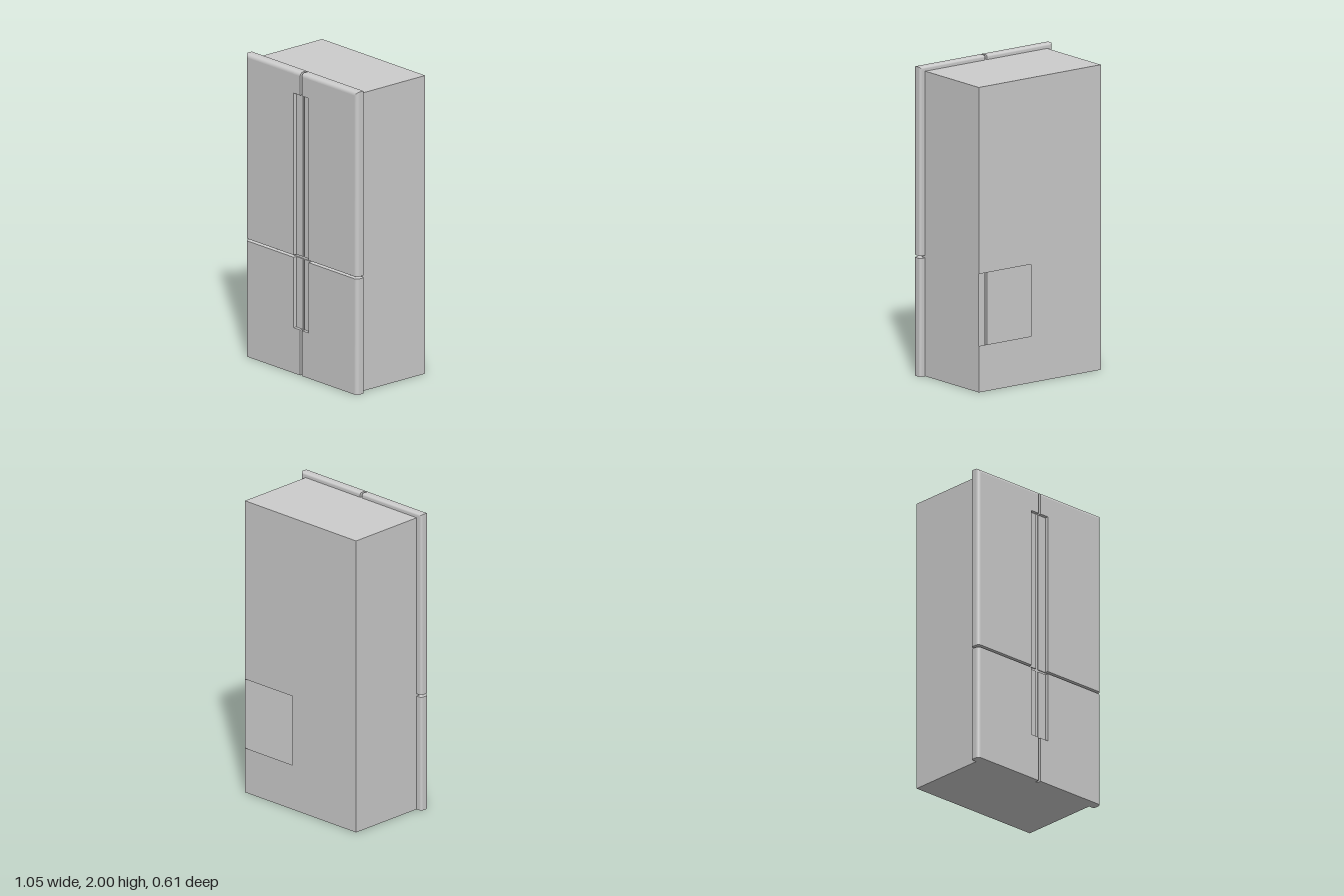
import * as THREE from 'three';

const mat = new THREE.MeshStandardMaterial({ color: 0xcccccc, side: THREE.DoubleSide });

const BODY = { x: 0.486, top: 1.97, back: -0.305, front: 0.275 };
const DOOR = { x: 0.527, back: 0.24, front: 0.305 };
const GAP = 0.008;                                  // half of the centre gap
const GRIP = { x: 0.07, low: 0.3, high: 1.85, floor: 0.282 };
const R_FRONT = 0.024, R_BACK = 0.014, ARC = 8;

function add(parent, name, geometry) {
  const mesh = new THREE.Mesh(geometry, mat);
  mesh.name = name;
  parent.add(mesh);
  return mesh;
}

// Depth layers of a door edge: position z and how far the edge is drawn in
function edgeLayers() {
  const layers = [];
  for (let i = 0; i <= ARC; i++) {
    const a = (i / ARC) * Math.PI / 2;
    layers.push([DOOR.back + R_BACK * (1 - Math.cos(a)), R_BACK * (1 - Math.sin(a))]);
  }
  for (let i = 0; i <= ARC; i++) {
    const a = (i / ARC) * Math.PI / 2;
    layers.push([DOOR.front - R_FRONT * (1 - Math.sin(a)), R_FRONT * (1 - Math.cos(a))]);
  }
  return layers;
}

// Slab whose outer side and/or top edge is rounded; side is +1 or -1
function slab(side, x0, x1, y0, y1, roundSide, roundTop) {
  const layers = edgeLayers(), n = layers.length - 1;
  const g = new THREE.BoxGeometry(1, 1, 1, 1, 1, n);
  const p = g.attributes.position;
  for (let i = 0; i < p.count; i++) {
    const [z, inset] = layers[Math.round((p.getZ(i) + 0.5) * n)];
    const outer = p.getX(i) * side > 0, top = p.getY(i) > 0;
    const x = outer ? x1 - (roundSide ? inset : 0) : x0;
    const y = top ? y1 - (roundTop ? inset : 0) : y0;
    p.setXYZ(i, side * x, y, z);
  }
  g.computeVertexNormals();
  return g;
}

// Door with a shallow grip recess along its inner edge
function door(side, name, y0, y1, grip0, grip1, roundTop) {
  const group = new THREE.Group();
  group.name = name;
  add(group, 'doorPanel', slab(side, GRIP.x, DOOR.x, y0, y1, true, roundTop));
  if (grip0 > y0) add(group, 'doorInnerBottom', slab(side, GAP, GRIP.x, y0, grip0, false, false));
  if (grip1 < y1) add(group, 'doorInnerTop', slab(side, GAP, GRIP.x, grip1, y1, false, roundTop));
  const depth = GRIP.floor - DOOR.back;
  const floor = add(group, 'gripRecess', new THREE.BoxGeometry(GRIP.x - GAP, grip1 - grip0, depth));
  floor.position.set(side * (GRIP.x + GAP) / 2, (grip0 + grip1) / 2, DOOR.back + depth / 2);
  return group;
}

export function createModel() {
  const model = new THREE.Group();
  model.name = 'refrigerator';

  // Hollow cabinet: a box without its back face
  const depth = BODY.front - BODY.back;
  const shell = new THREE.BoxGeometry(BODY.x * 2, BODY.top, depth);
  shell.setIndex(Array.from(shell.index.array).slice(0, 30));
  shell.clearGroups();
  add(model, 'cabinet', shell).position.set(0, BODY.top / 2, (BODY.front + BODY.back) / 2);

  // Back panel with an opening at its +x edge, facing -z
  const open0 = GRIP.low, open1 = 0.765;
  const outline = new THREE.Shape([
    [-BODY.x, 0], [BODY.x, 0], [BODY.x, open0], [GRIP.x, open0],
    [GRIP.x, open1], [BODY.x, open1], [BODY.x, BODY.top], [-BODY.x, BODY.top],
  ].map(([x, y]) => new THREE.Vector2(-x, y)));
  const back = add(model, 'backPanel', new THREE.ShapeGeometry(outline));
  back.rotation.y = Math.PI;
  back.position.z = BODY.back;

  // Two upper and two lower doors
  for (const side of [1, -1]) {
    const label = side > 0 ? 'left' : 'right';
    model.add(door(side, label + 'UpperDoor', 0.78, 2, 0.78, GRIP.high, true));
    model.add(door(side, label + 'LowerDoor', 0, 0.765, GRIP.low, 0.765, false));
  }
  return model;
}
